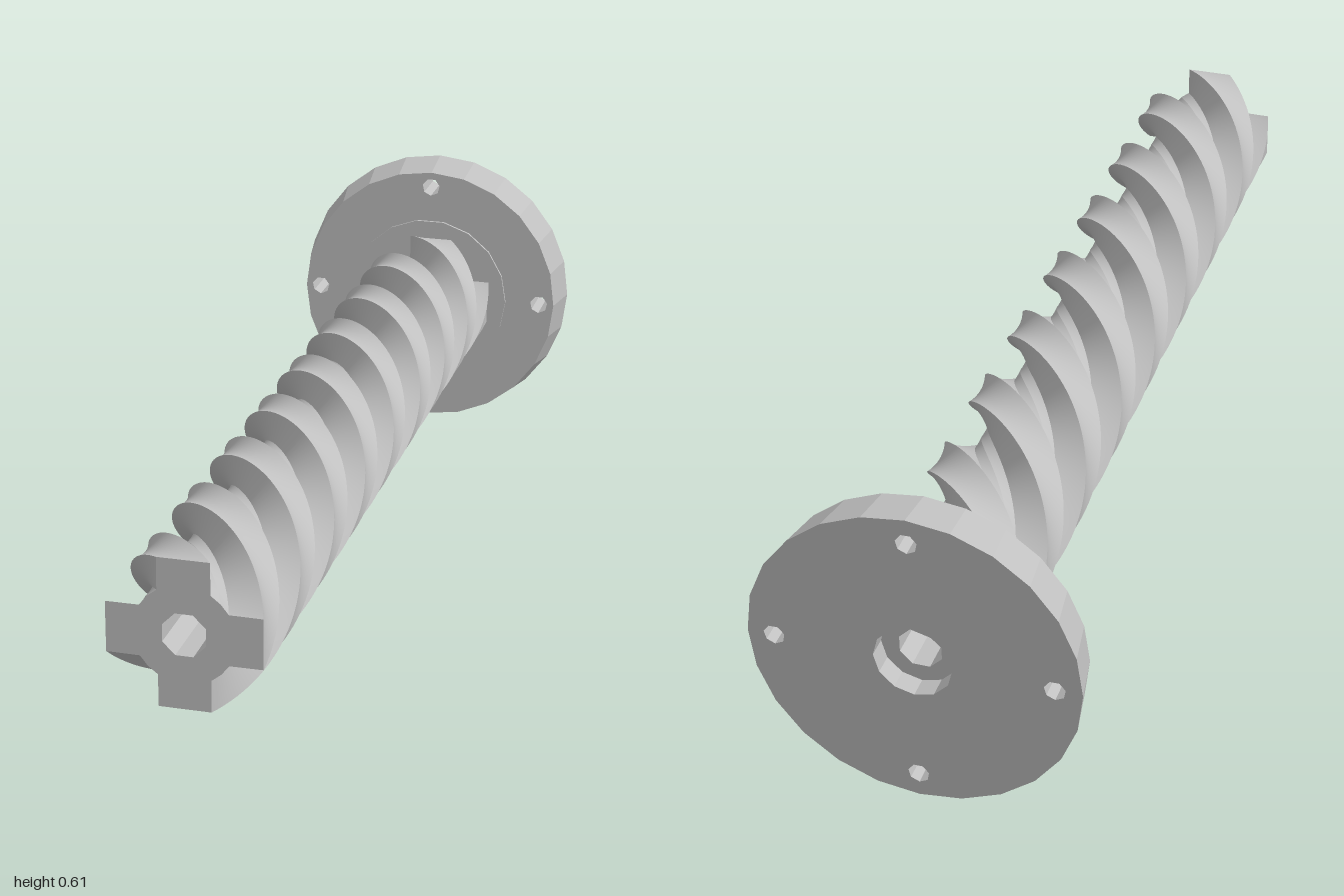
import * as THREE from 'three';

const LENGTH = 1.96;      // whole axis, flange back to screw tip
const FLANGE = 0.092;     // flange thickness
const SCREW_START = 0.095;

// Regular polygon points, counter-clockwise
function ring(radius, sides, turn = 0, cx = 0, cy = 0) {
  return Array.from({ length: sides }, (_, i) => {
    const a = turn + (i / sides) * Math.PI * 2;
    return new THREE.Vector2(cx + radius * Math.cos(a), cy + radius * Math.sin(a));
  });
}

// Four-armed cross with a round core
function crossSection() {
  const pts = [];
  const core = 0.092, tip = 0.139, half = 0.047;
  for (let q = 0; q < 4; q++) {
    const quarter = [
      [tip, -half], [tip, half],
      ...[31, 45, 59].map(d => [core * Math.cos(d * Math.PI / 180), core * Math.sin(d * Math.PI / 180)]),
    ];
    for (const [x, y] of quarter) {
      pts.push(new THREE.Vector2(x, y).rotateAround(new THREE.Vector2(), q * Math.PI / 2));
    }
  }
  return pts;
}

// Walls of a section swept along z; one strip per edge keeps the edges sharp
function sweptWalls(section, z0, z1, steps, twist) {
  const pos = [], index = [];
  section.forEach((a, e) => {
    const b = section[(e + 1) % section.length];
    const base = pos.length / 3;
    for (let i = 0; i <= steps; i++) {
      const t = i / steps, ang = twist * (1 - t), z = z0 + (z1 - z0) * t;
      const c = Math.cos(ang), s = Math.sin(ang);
      for (const p of [a, b]) pos.push(p.x * c - p.y * s, p.x * s + p.y * c, z);
      if (i < steps) {
        const k = base + i * 2;
        index.push(k, k + 1, k + 2, k + 1, k + 3, k + 2);
      }
    }
  });
  const g = new THREE.BufferGeometry();
  g.setAttribute('position', new THREE.Float32BufferAttribute(pos, 3));
  g.setIndex(index);
  g.computeVertexNormals();
  return g;
}

function plate(outline, holes, depth) {
  const shape = new THREE.Shape(outline);
  shape.holes = holes.map(h => new THREE.Path(h));
  return new THREE.ExtrudeGeometry(shape, { depth, bevelEnabled: false });
}

export function createModel() {
  const model = new THREE.Group();
  const metal = new THREE.MeshStandardMaterial({ color: 0xc0c0c0 });
  metal.name = 'grey metal';

  const screw = new THREE.Group();
  screw.name = 'flangedScrew';
  model.add(screw);
  const add = (name, geometry, z = 0) => {
    const mesh = new THREE.Mesh(geometry, metal);
    mesh.name = name;
    mesh.position.z = z;
    screw.add(mesh);
  };

  // Flange with four bolt holes and a counterbore, rim tapering to the front
  const bolts = [0, 1, 2, 3].map(i => {
    const a = i * Math.PI / 2;
    return ring(0.02, 7, 0.2, 0.257 * Math.cos(a), 0.257 * Math.sin(a));
  });
  const flange = plate(ring(0.307, 24), [...bolts, ring(0.073, 12)], FLANGE);
  const p = flange.attributes.position;
  for (let i = 0; i < p.count; i++) {
    const x = p.getX(i), y = p.getY(i);
    if (p.getZ(i) > 0.01 && Math.hypot(x, y) > 0.29) p.setXY(i, x * 0.948, y * 0.948);
  }
  flange.computeVertexNormals();
  add('flange', flange);

  // Hub: floor of the counterbore and the slightly raised disc in front
  const bore = ring(0.042, 8, Math.PI / 8);
  add('hub', plate(ring(0.18, 18), [bore], 0.058), 0.04);

  // Twisted four-armed shaft, two full turns
  const section = crossSection();
  add('shaft', sweptWalls(section, SCREW_START, LENGTH, 192, Math.PI * 4));

  // Front end face and the bore through the shaft
  const face = new THREE.Shape(section);
  face.holes = [new THREE.Path(bore)];
  add('shaftEnd', new THREE.ShapeGeometry(face), LENGTH);
  add('bore', sweptWalls([...bore].reverse(), SCREW_START, LENGTH, 1, 0));

  // Lean the axis towards the upper left of the front
  const axis = new THREE.Vector3(-0.1, 0.066, 1).normalize();
  screw.quaternion.setFromUnitVectors(new THREE.Vector3(0, 0, 1), axis);
  screw.position.set(0.013, 0.308, -0.965);
  return model;
}
